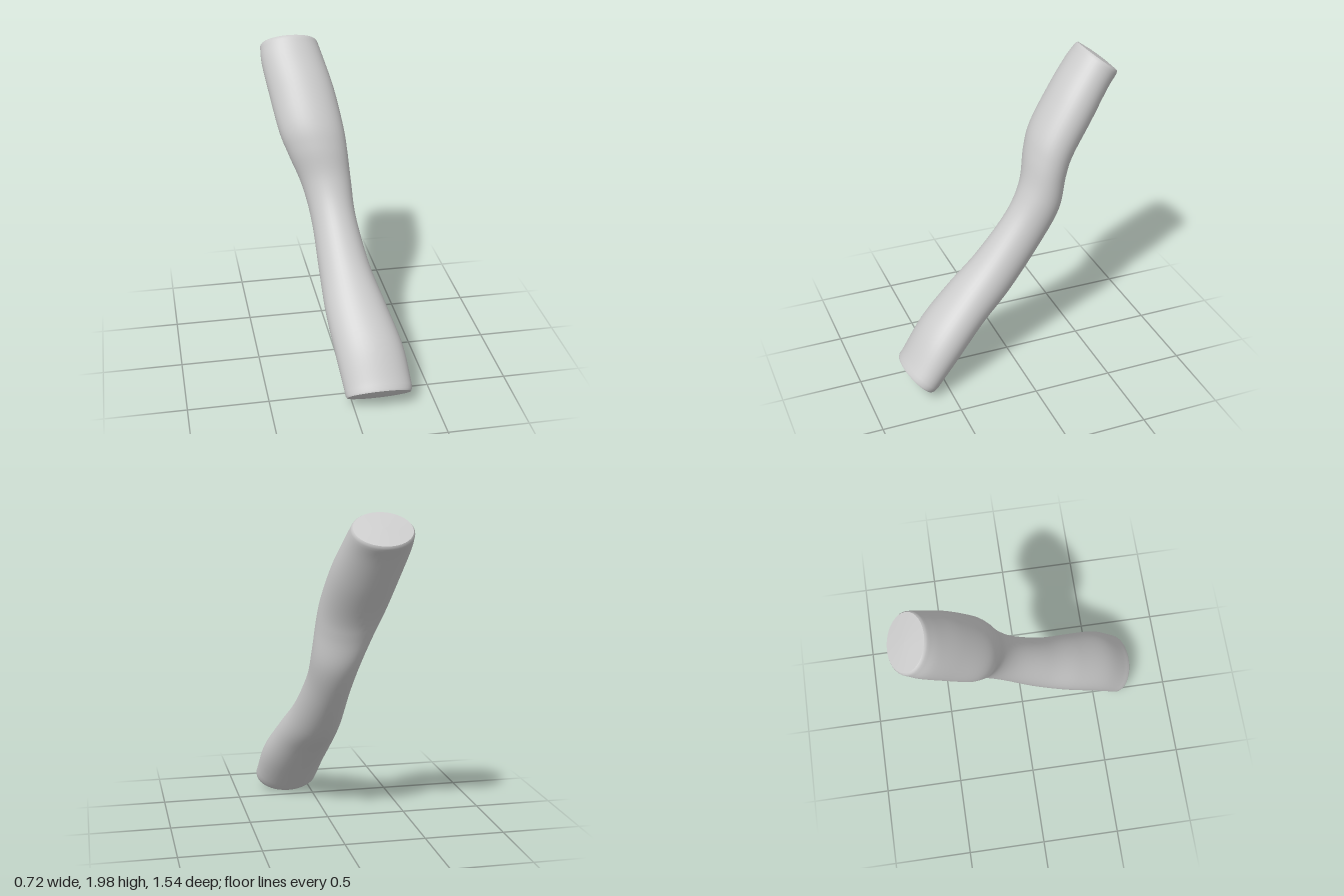
import * as THREE from 'three';

const SIDES = 40, RINGS = 60;

// Sections from foot to top: upper edge z, y; lower edge z, y; right x, left x
const SECTIONS = [
  [0.745, 0.215, 0.55, 0.03, -0.055, 0.36],
  [0.60, 0.42, 0.40, 0.19, -0.085, 0.335],
  [0.40, 0.61, 0.22, 0.365, -0.11, 0.27],
  [0.20, 0.79, 0.02, 0.535, -0.115, 0.205],
  [0.00, 1.02, -0.20, 0.80, -0.125, 0.155],
  [-0.10, 1.20, -0.34, 1.02, -0.165, 0.145],
  [-0.15, 1.39, -0.395, 1.22, -0.24, 0.13],
  [-0.21, 1.54, -0.45, 1.35, -0.29, 0.115],
  [-0.35, 1.75, -0.58, 1.54, -0.33, 0.08],
  [-0.47, 1.90, -0.70, 1.715, -0.358, 0.035],
  [-0.54, 1.98, -0.77, 1.80, -0.358, 0.01],
];

const spline = (pick) => new THREE.CatmullRomCurve3(SECTIONS.map((s) => new THREE.Vector3(...pick(s))), false, 'catmullrom');
const upper = spline((s) => [0, s[1], s[0]]);
const lower = spline((s) => [0, s[3], s[2]]);
const width = spline((s) => [s[4], s[5], 0]);

// One oval ring, optionally shrunk and pushed along the limb
function ring(t, scale = 1, push = 0) {
  const a = upper.getPoint(t), b = lower.getPoint(t), w = width.getPoint(t);
  const centre = a.clone().add(b).multiplyScalar(0.5);
  centre.x = (w.x + w.y) / 2;
  const up = a.sub(b).multiplyScalar(0.5);
  const along = new THREE.Vector3(0, up.z, -up.y).normalize();
  centre.addScaledVector(along, push);
  return Array.from({ length: SIDES }, (_, j) => {
    const q = (j / SIDES) * Math.PI * 2;
    const p = centre.clone().addScaledVector(up, Math.sin(q) * scale);
    p.x += (Math.cos(q) * scale * (w.y - w.x)) / 2;
    return p;
  });
}

// Smooth skin through a list of rings
function loft(rings) {
  const index = [];
  for (let i = 0; i < rings.length - 1; i++) {
    for (let j = 0; j < SIDES; j++) {
      const k = (j + 1) % SIDES;
      const a = i * SIDES + j, b = i * SIDES + k, c = a + SIDES, d = b + SIDES;
      index.push(a, c, b, b, c, d);
    }
  }
  const geometry = new THREE.BufferGeometry().setFromPoints(rings.flat());
  geometry.setIndex(index);
  geometry.computeVertexNormals();
  return geometry;
}

export function createModel() {
  const group = new THREE.Group();
  group.name = 'bentLimb';
  const material = new THREE.MeshStandardMaterial({ color: 0xcccccc });
  const add = (name, rings) => {
    const mesh = new THREE.Mesh(loft(rings), material);
    mesh.name = name;
    group.add(mesh);
  };

  // Bent, flattened body with slightly rounded rims
  const body = [ring(0, 0.95, -0.04), ring(0, 0.985, -0.028)];
  for (let i = 0; i <= RINGS; i++) body.push(ring(i / RINGS));
  body.push(ring(1, 0.98, 0.012), ring(1, 0.94, 0.02));
  add('body', body);

  // Gently domed ends
  add('lowerEnd', [ring(0, 0.001, -0.05), ring(0, 0.5, -0.048), ring(0, 0.95, -0.04)]);
  add('upperEnd', [ring(1, 0.94, 0.02), ring(1, 0.5, 0.026), ring(1, 0.001, 0.028)]);
  return group;
}
